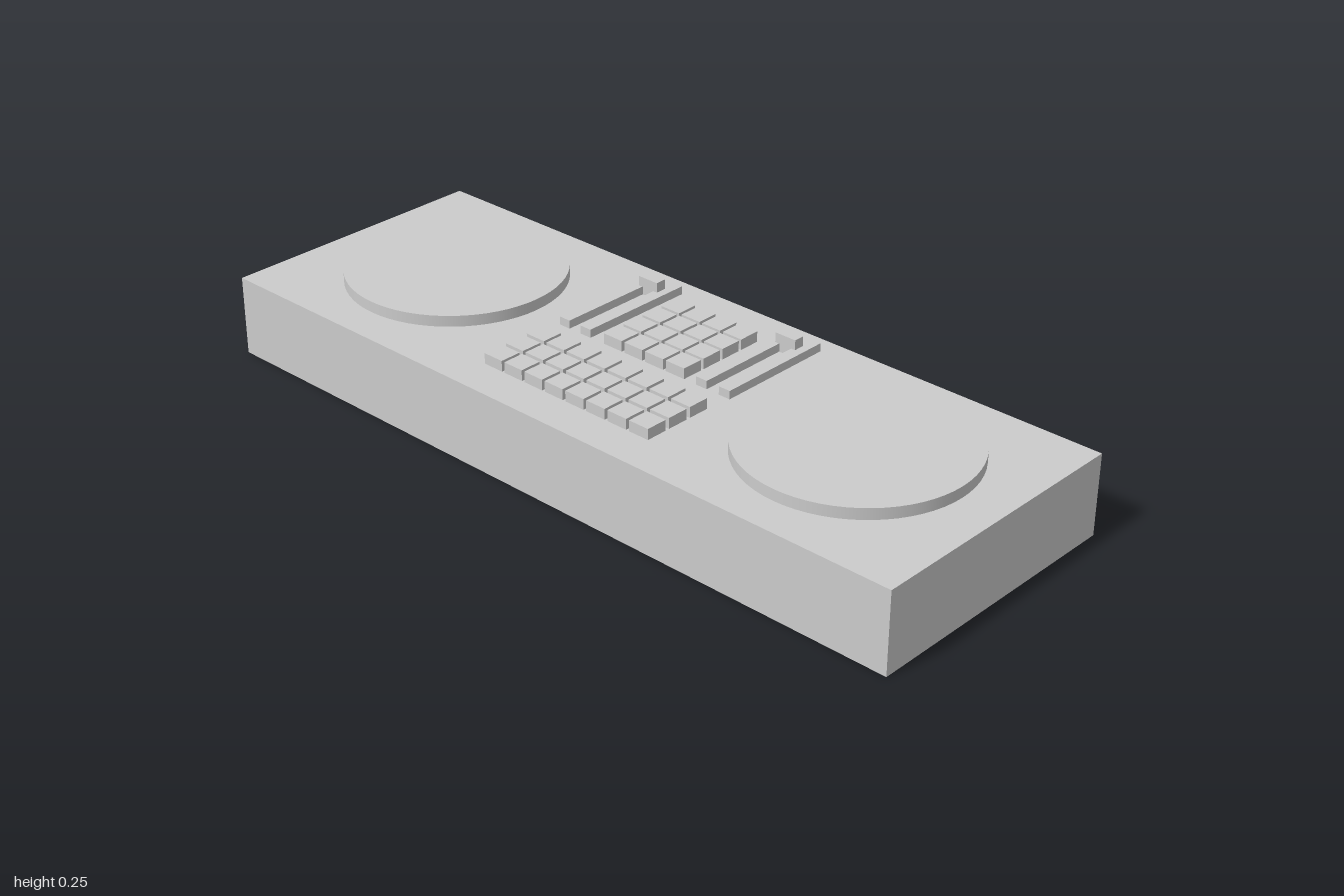
import * as THREE from 'three';

const material = new THREE.MeshStandardMaterial({ color: 0xcccccc });
const TOP = 0.204; // height of the deck surface
const MID = 0.004; // the controls sit slightly off centre

// Box given by its centre in x and z, its bottom and its top
function box(name, x, z, width, depth, bottom, top) {
  const mesh = new THREE.Mesh(new THREE.BoxGeometry(width, top - bottom, depth), material);
  mesh.name = name;
  mesh.position.set(x, (bottom + top) / 2, z);
  return mesh;
}

// Grid of square push buttons, starting at the back left one
function buttonGrid(name, columns, rows, x0, z0, pitchX, pitchZ) {
  const group = new THREE.Group();
  group.name = name;
  for (let r = 0; r < rows; r++) {
    for (let c = 0; c < columns; c++) {
      group.add(box('button', x0 + c * pitchX, z0 + r * pitchZ, 0.056, 0.056, TOP, 0.231));
    }
  }
  return group;
}

// Slider: two rails with a slot between them and a cap riding on top
function slider(name, x) {
  const group = new THREE.Group();
  group.name = name;
  for (const side of [-1, 1]) {
    group.add(box('sliderRail', x + side * 0.034, -0.153, 0.032, 0.314, TOP, 0.225));
  }
  group.add(box('sliderStem', x, -0.257, 0.034, 0.026, TOP, 0.226));
  group.add(box('sliderCap', x, -0.257, 0.059, 0.028, 0.225, 0.25));
  return group;
}

// Round platter hovering just above the deck
function platter(name, x) {
  const mesh = new THREE.Mesh(new THREE.CylinderGeometry(0.274, 0.274, 0.028, 64), material);
  mesh.name = name;
  mesh.position.set(x, 0.225, 0);
  return mesh;
}

export function createModel() {
  const model = new THREE.Group();
  model.name = 'mixingDeck';

  model.add(box('body', 0, 0, 2, 0.72, 0, TOP));

  // Mirrored controls
  for (const [label, side] of [['right', -1], ['left', 1]]) {
    model.add(platter(label + 'Platter', MID + side * 0.622));
    model.add(slider(label + 'Slider', MID + side * 0.215));
  }

  // Button pads in the middle
  model.add(buttonGrid('rearButtons', 4, 4, -0.089, -0.218, 0.0645, 0.0645));
  model.add(buttonGrid('frontButtons', 8, 3, -0.218, 0.098, 0.0645, 0.0665));

  return model;
}
